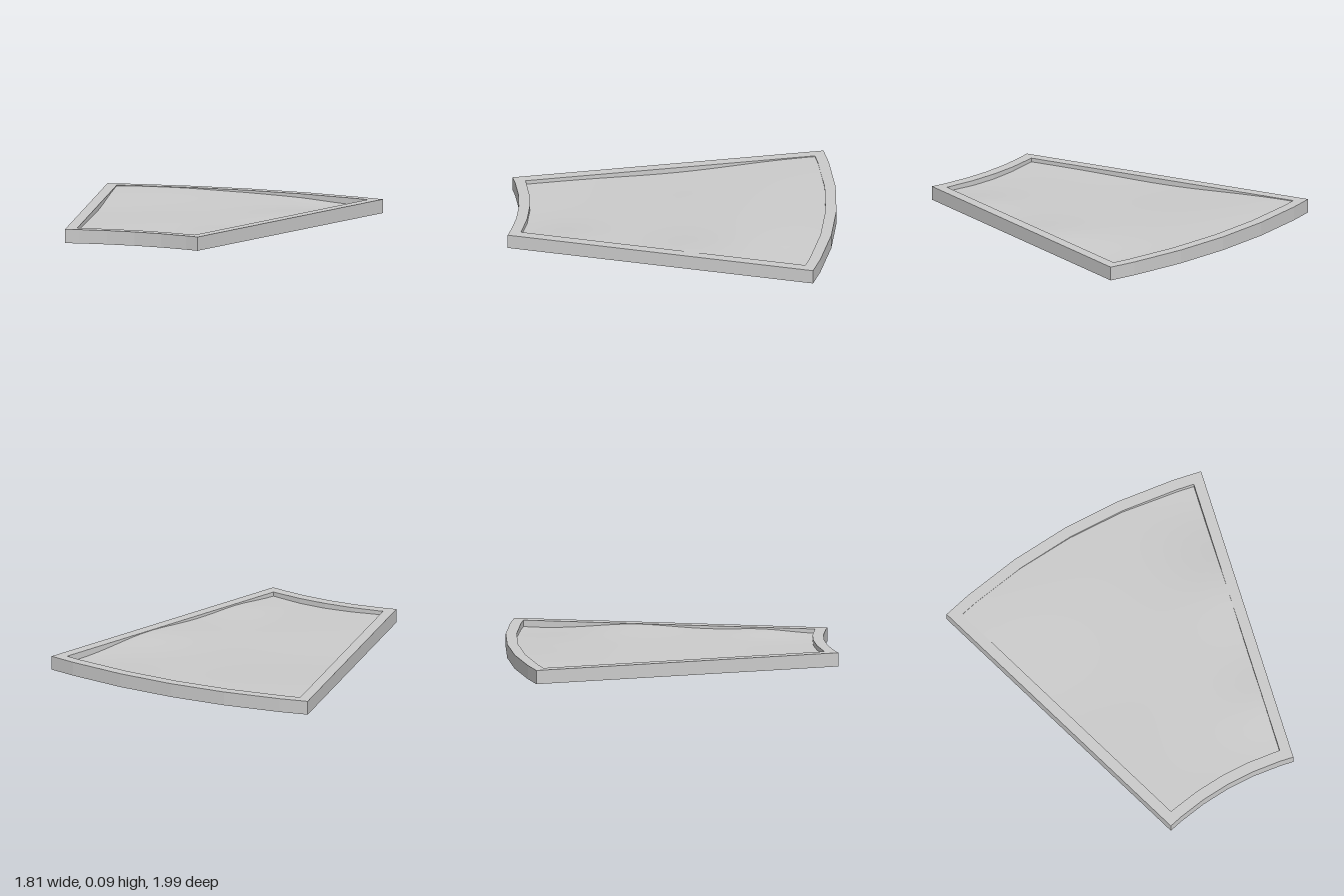
import * as THREE from 'three';

const APEX_Z = 2.745;                    // centre of both arcs
const HALF = THREE.MathUtils.degToRad(14);
const STEP = Math.PI / 32;               // arc facet angle
const TOP = 0.085, SKIRT = 0.04;

// Point on a faceted arc of radius r, u = 0..1 from right to left
function arcPoint(r, half, u) {
  const angles = [-half, -2 * STEP, -STEP, 0, STEP, 2 * STEP, half];
  const i = Math.min(Math.floor(u * 6 + 1e-6), 5), f = u * 6 - i;
  const at = (a) => new THREE.Vector3(r * Math.sin(a), 0, APEX_Z - r * Math.cos(a));
  return at(angles[i]).lerp(at(angles[i + 1]), f);
}

// Point of the sector inset by d; v = 0 at the front arc, 1 at the back arc
function sectorPoint(u, v, d) {
  const r0 = 1.8 + d, r1 = 3.74 - d;
  const front = arcPoint(r0, HALF - Math.asin(d / r0), u);
  return front.lerp(arcPoint(r1, HALF - Math.asin(d / r1), u), v);
}

// Closed outline of the sector at height y
function outline(d, y) {
  const n = 6, pts = [];
  for (const [u, v] of [
    [(t) => t, () => 0], [() => 1, (t) => t],
    [(t) => 1 - t, () => 1], [() => 0, (t) => 1 - t],
  ]) for (let i = 0; i < n; i++) pts.push(sectorPoint(u(i / n), v(i / n), d).setY(y));
  pts.push(pts[0].clone());
  return pts;
}

// Surface through rows of points
function lattice(rows) {
  const w = rows[0].length, index = [];
  for (let i = 0; i < rows.length - 1; i++)
    for (let j = 0; j < w - 1; j++) {
      const a = i * w + j, b = a + 1, c = b + w, d = a + w;
      index.push(a, b, c, a, c, d);
    }
  const g = new THREE.BufferGeometry().setFromPoints(rows.flat());
  g.setIndex(index);
  g.computeVertexNormals();
  return g;
}

// Gentle bumps and hollows: x, z, radius, height
const BUMPS = [
  [0.75, -0.75, 0.25, -0.022], [-0.6, -0.8, 0.4, 0.018], [0.65, -0.15, 0.2, 0.018],
  [0.1, 0.9, 0.3, -0.012], [-0.6, 0.0, 0.35, -0.014], [0.45, 0.6, 0.15, 0.014],
];
function groundHeight(x, z) {
  let h = 0.065;
  for (const [bx, bz, s, k] of BUMPS)
    h += k * Math.exp(-((x - bx) ** 2 + (z - bz) ** 2) / (2 * s * s));
  return THREE.MathUtils.clamp(h, SKIRT, TOP - 0.001);
}

export function createModel() {
  const group = new THREE.Group();
  const add = (name, geometry, flatShading) => {
    const mesh = new THREE.Mesh(geometry, new THREE.MeshStandardMaterial({
      color: 0xcccccc, side: THREE.DoubleSide, flatShading,
    }));
    mesh.name = name;
    group.add(mesh);
  };

  // Hollow border: outer wall, flat rim and inner skirt, open below
  const inset = 0.067;
  add('borderFrame', lattice([
    outline(0, 0), outline(0, TOP), outline(inset, TOP), outline(inset, SKIRT),
  ]), true);

  // Undulating ground sheet inside the border
  const rows = [];
  for (let i = 0; i <= 40; i++) {
    const row = [];
    for (let j = 0; j <= 30; j++) {
      const p = sectorPoint(j / 30, i / 40, inset);
      row.push(p.setY(groundHeight(p.x, p.z)));
    }
    rows.push(row);
  }
  add('groundSurface', lattice(rows), false);

  return group;
}
